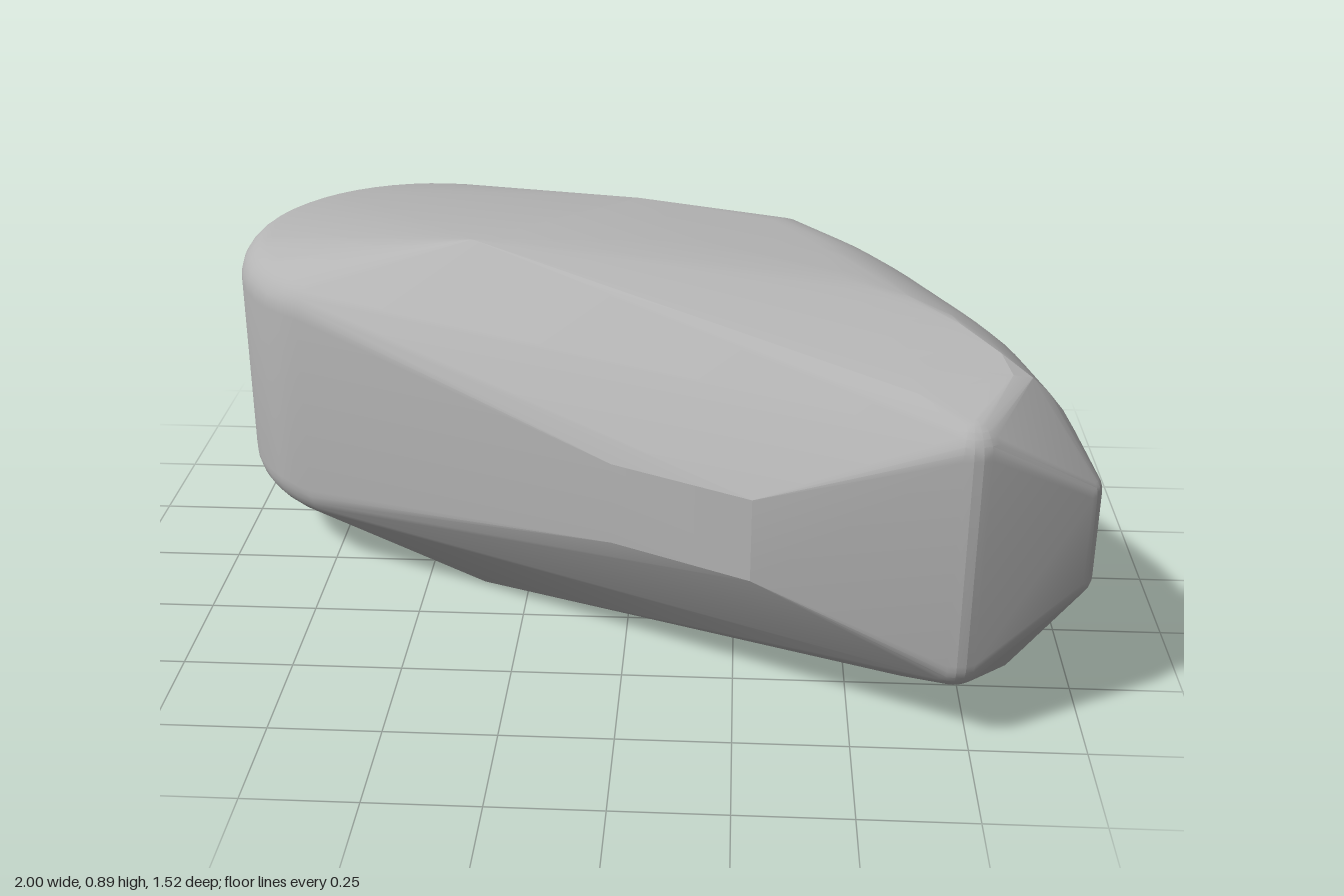
import * as THREE from 'three';
import { ConvexGeometry } from 'three/addons/geometries/ConvexGeometry.js';
import { mergeVertices, toCreasedNormals } from 'three/addons/utils/BufferGeometryUtils.js';

const MID = 0.445; // the stone is mirrored above and below this height

export function createModel() {
  const points = [];
  const add = (x, z, h) => {
    for (const s of [1, -1]) points.push(new THREE.Vector3(x, MID + s * h, z));
  };

  // Round back end: a half cylinder with a filleted rim
  for (let i = 0; i <= 24; i++) {
    const a = THREE.MathUtils.degToRad(122 + i * 7.5);
    for (let j = 0; j <= 9; j++) {
      const f = (j / 9) * Math.PI / 2;
      const r = 0.448 - 0.1 * (1 - Math.cos(f));
      add(-0.55 + r * Math.cos(a), -0.315 + r * Math.sin(a), 0.225 + 0.1 * Math.sin(f));
    }
  }

  // Ridge across the broad faces
  add(-0.36, 0.1, MID);
  add(0.0, -0.22, MID);
  add(0.15, 0.08, MID);

  // Facet corners of the front flank
  add(-0.02, 0.52, 0.095);
  add(0.28, 0.67, 0.095);

  // Curved outer flank, growing rounder towards the tip
  const rail = new THREE.CatmullRomCurve3([
    [0.45, -0.27], [0.65, -0.1], [0.8, 0.08], [0.92, 0.3], [0.99, 0.53],
  ].map(([x, z]) => new THREE.Vector3(x, 0, z)));
  const limit = (z) => {
    const d = Math.max(0, z - 0.13);
    return MID - 0.068 * d - 0.297 * d * d;
  };
  for (let i = 0; i <= 16; i++) {
    const t = i / 16;
    const p = rail.getPoint(t), d = rail.getTangent(t);
    const wall = 0.2 * (1 - t), depth = 0.2 + 0.2 * Math.min(1, t * 2);
    for (let j = 0; j <= 12; j++) {
      const f = (j / 12) * Math.PI / 2;
      const inset = depth * (1 - Math.cos(f));
      const x = p.x - d.z * inset, z = p.z + d.x * inset;
      add(x, z, Math.min(limit(z), wall + (0.43 - wall) * Math.sin(f)));
    }
  }

  // Narrow front tip: two small rounded corners
  const corner = (x, z, r, h) => {
    for (let i = 0; i < 24; i++) {
      for (let j = 0; j <= 8; j++) {
        const a = (i / 24) * Math.PI * 2, f = (j / 8) * Math.PI / 2;
        add(x + r * Math.cos(f) * Math.cos(a), z + r * Math.cos(f) * Math.sin(a), h + r * Math.sin(f));
      }
    }
  };
  corner(0.71, 0.68, 0.078, 0.235);
  corner(0.95, 0.59, 0.05, 0.1);

  const hull = new ConvexGeometry(points);
  hull.deleteAttribute('normal');
  const geometry = toCreasedNormals(mergeVertices(hull, 1e-4), 0.24);

  const stoneGrey = new THREE.MeshStandardMaterial({ color: 0xb4b4b4 });
  stoneGrey.name = 'stone grey';
  const stone = new THREE.Mesh(geometry, stoneGrey);
  stone.name = 'stone';
  const group = new THREE.Group();
  group.name = 'roundedStone';
  group.add(stone);
  return group;
}
